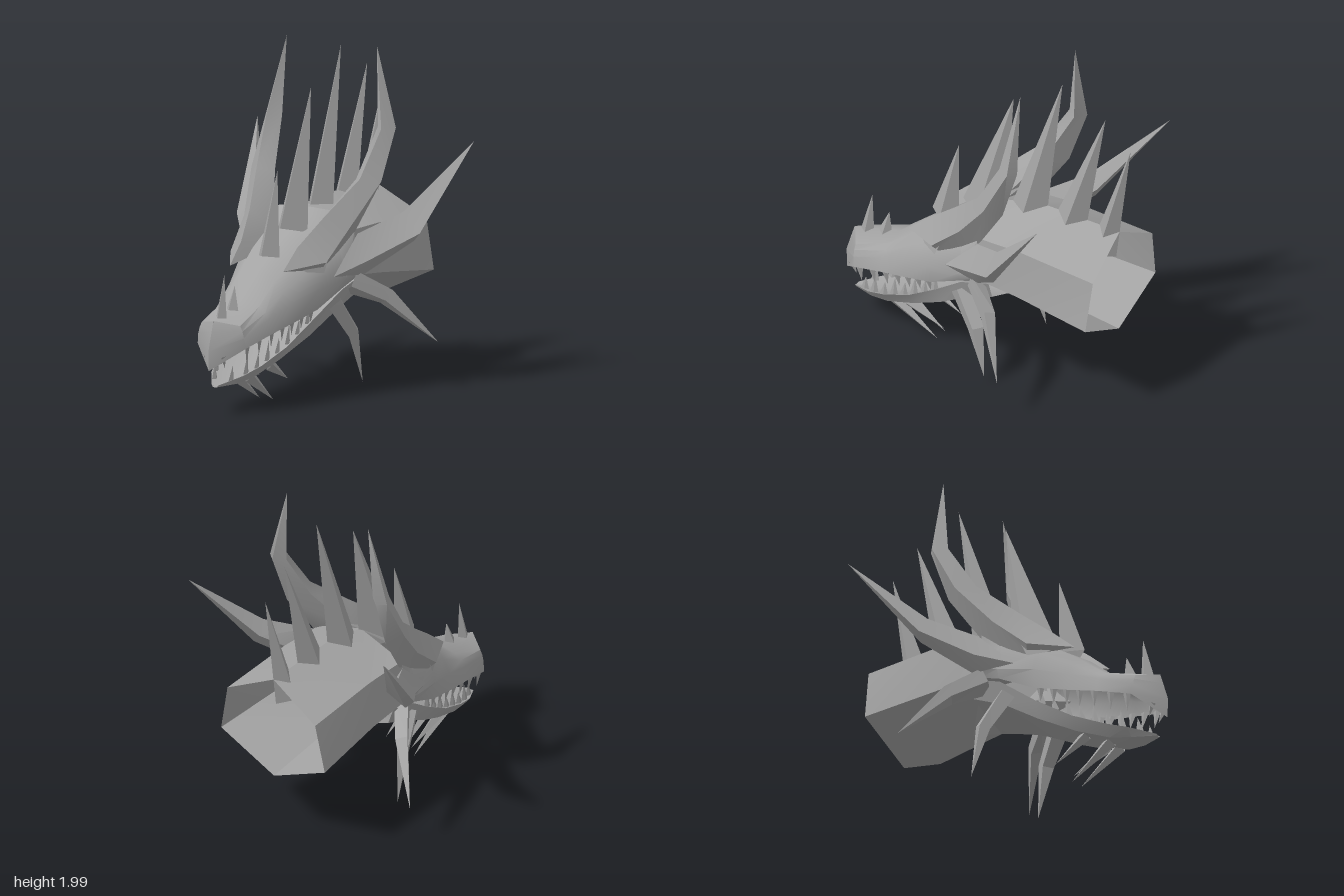
import * as THREE from 'three';
import { toCreasedNormals } from 'three/addons/utils/BufferGeometryUtils.js';

const grey = new THREE.MeshStandardMaterial({ color: 0xa4a4a4, side: THREE.DoubleSide });
grey.name = 'stone grey';

// Skin a list of rings (equal point counts) into a creased surface.
function loft(name, rings, { closed = false, flip = false, crease = 0.55 } = {}) {
  const pos = [];
  const tri = (a, b, c) => {
    const [p, q, r] = [a, b, c].map((v) => new THREE.Vector3(...v));
    if (new THREE.Triangle(p, q, r).getArea() < 1e-7) return;
    pos.push(...a, ...(flip ? c : b), ...(flip ? b : c));
  };
  for (let i = 0; i < rings.length - 1; i++) {
    const A = rings[i], B = rings[i + 1], n = A.length;
    for (let j = 0; j < (closed ? n : n - 1); j++) {
      const k = (j + 1) % n;
      tri(A[j], A[k], B[j]);
      tri(A[k], B[k], B[j]);
    }
  }
  const g = new THREE.BufferGeometry();
  g.setAttribute('position', new THREE.Float32BufferAttribute(pos, 3));
  const mesh = new THREE.Mesh(toCreasedNormals(g, crease), grey);
  mesh.name = name;
  return mesh;
}

// Full left-right ring from a half profile whose first point lies on x = 0.
const symmetric = (half) => [...half.slice(1).reverse().map(([x, y, z]) => [-x, y, z]), ...half];
const atZ = (z, pts) => pts.map(([x, y]) => [x, y, z]);
// Ring of four equal points, closing a horn to a tip.
const tip = (...p) => [p, p, p, p];

// Four-sided spike along points [x, y, z, side radius, depth radius], ending in a tip.
function spike(name, pts) {
  const P = pts.map((p) => new THREE.Vector3(p[0], p[1], p[2]));
  const rings = pts.map(([, , , ru = 0, rv = ru], i) => {
    const t = P[Math.min(i + 1, P.length - 1)].clone().sub(P[Math.max(i - 1, 0)]).normalize();
    const u = t.clone().cross(new THREE.Vector3(0, 0, 1)).normalize();
    const v = t.clone().cross(u);
    return [[ru, 0], [0, rv], [-ru, 0], [0, -rv]].map(([a, b]) =>
      P[i].clone().addScaledVector(u, a).addScaledVector(v, b).toArray());
  });
  return loft(name, rings, { closed: true, crease: 0.2 });
}

// Point on a polyline of [x, y, z] with falling z.
function along(line, z) {
  let i = 0;
  while (i < line.length - 2 && line[i + 1][2] > z) i++;
  const a = line[i], b = line[i + 1], t = (z - a[2]) / (b[2] - a[2]);
  return [a[0] + (b[0] - a[0]) * t, a[1] + (b[1] - a[1]) * t, z];
}

export function createModel() {
  const model = new THREE.Group();
  model.name = 'hornedBeastHead';

  // Skull: top centre, top edge, temple, cheek, lip
  const skull = [
    [[0, 0.56, 0.905], [0, 0.545, 0.91], [0, 0.5, 0.925], [0, 0.39, 0.96], [0, 0.275, 0.955]],
    [[0, 0.56, 0.9], [0.13, 0.53, 0.82], [0.145, 0.5, 0.82], [0.155, 0.46, 0.82], [0.165, 0.4, 0.81]],
    atZ(0.6, [[0, 0.625], [0.12, 0.605], [0.165, 0.575], [0.19, 0.54], [0.21, 0.455]]),
    atZ(0.42, [[0, 0.77], [0.13, 0.74], [0.19, 0.68], [0.235, 0.6], [0.245, 0.495]]),
    atZ(0.22, [[0, 0.88], [0.16, 0.865], [0.25, 0.78], [0.295, 0.66], [0.285, 0.545]]),
    atZ(0, [[0, 0.99], [0.18, 0.975], [0.295, 0.88], [0.345, 0.7], [0.325, 0.645]]),
    atZ(-0.12, [[0, 1.07], [0.185, 1.06], [0.325, 0.95], [0.355, 0.72], [0.33, 0.68]]),
  ];
  model.add(loft('skull', skull.map(symmetric), { crease: 0.7 }));

  // Six-sided neck with a ridged back, open at the rear
  const neck = [
    atZ(-0.1, [[0, 1.06], [0.31, 0.96], [0.335, 0.7], [0, 0.45]]),
    atZ(-0.4, [[0, 1.11], [0.32, 0.96], [0.345, 0.67], [0, 0.51]]),
    [[0, 1.085, -0.885], [0.33, 0.91, -0.905], [0.39, 0.61, -0.89], [0, 0.43, -0.88]],
  ];
  model.add(loft('neck', neck.map(symmetric), { crease: 0.3 }));

  // Lower jaw: mouth floor, rim, lower side, keel
  const jaw = [
    atZ(0.89, [[0, 0.175], [0.02, 0.18], [0.015, 0.17], [0, 0.168]]),
    atZ(0.75, [[0, 0.19], [0.11, 0.225], [0.07, 0.175], [0, 0.168]]),
    atZ(0.62, [[0, 0.22], [0.15, 0.265], [0.1, 0.195], [0, 0.17]]),
    atZ(0.42, [[0, 0.28], [0.2, 0.35], [0.15, 0.27], [0, 0.23]]),
    atZ(0.2, [[0, 0.4], [0.25, 0.485], [0.215, 0.38], [0, 0.33]]),
    atZ(0, [[0, 0.5], [0.315, 0.63], [0.27, 0.5], [0, 0.43]]),
    atZ(-0.2, [[0, 0.6], [0.33, 0.69], [0.29, 0.58], [0, 0.47]]),
  ];
  model.add(loft('lowerJaw', jaw.map(symmetric), { crease: 0.7 }));

  // Crest spikes down the midline and small ones on the nose
  const crest = [
    [0.84, 0.29, 1.33, 0.2, 0.07, 0.09], [0.95, 0.03, 1.76, -0.17, 0.1, 0.145],
    [0.97, -0.26, 1.96, -0.5, 0.09, 0.125], [0.96, -0.53, 1.81, -0.79, 0.085, 0.115],
    [0.93, -0.78, 1.65, -0.96, 0.08, 0.085],
  ];
  crest.forEach(([y, z, ty, tz, rx, rz]) =>
    model.add(spike('crestSpike', [[0, y, z, rx, rz], [0, ty, tz]])));
  model.add(spike('noseSpike', [[0, 0.53, 0.82, 0.04, 0.05], [0, 0.81, 0.785]]));
  model.add(spike('noseSpike', [[0, 0.59, 0.695, 0.04, 0.045], [0, 0.73, 0.67]]));

  const lip = skull.slice(1).map((r) => r[4]);
  const rim = jaw.map((r) => r[1]);
  // Horn rings: front, outer, back, inner
  const horn = [
    tip(0.18, 0.79, 0.43),
    [[0.19, 0.91, 0.29], [0.325, 0.82, 0.19], [0.28, 0.77, 0.17], [0.145, 0.82, 0.28]],
    [[0.25, 1.06, 0.1], [0.36, 1, -0.02], [0.31, 0.92, -0.12], [0.15, 0.95, 0]],
    [[0.35, 1.26, -0.14], [0.44, 1.24, -0.23], [0.37, 1.21, -0.32], [0.275, 1.24, -0.22]],
    [[0.39, 1.53, -0.31], [0.44, 1.53, -0.39], [0.39, 1.53, -0.43], [0.325, 1.53, -0.38]],
    tip(0.305, 2, -0.4),
  ];
  // Cheek horn rings: upper, outer, lower, inner
  const cheek = [
    tip(0.32, 0.72, 0.1),
    [[0.34, 0.94, -0.13], [0.42, 0.79, -0.11], [0.37, 0.7, -0.15], [0.3, 0.8, -0.2]],
    [[0.51, 1.05, -0.37], [0.62, 0.93, -0.36], [0.57, 0.88, -0.38], [0.48, 0.98, -0.44]],
    tip(0.735, 1.42, -0.775),
  ];

  for (const s of [1, -1]) {
    const side = new THREE.Group();
    side.name = s > 0 ? 'leftSide' : 'rightSide';
    model.add(side);
    const flipX = (rings) => rings.map((r) => r.map(([x, y, z]) => [s * x, y, z]));
    const add = (name, pts) => side.add(spike(name, pts.map(([x, ...rest]) => [s * x, ...rest])));

    side.add(loft('horn', flipX(horn), { closed: true, flip: s < 0 }));
    side.add(loft('cheekHorn', flipX(cheek), { closed: true, flip: s < 0 }));

    // Eye under the brow
    side.add(loft('eye', flipX([
      [[0.215, 0.8, 0.33], [0.31, 0.86, 0.13]],
      [[0.25, 0.77, 0.28], [0.305, 0.755, 0.18]],
    ]), { flip: s > 0 }));

    // Bent spines behind and under the jaw
    add('upperFrillSpine', [[0.31, 0.66, -0.1, 0.08, 0.05], [0.45, 0.56, -0.27, 0.06, 0.045], [0.68, 0.28, -0.47]]);
    add('lowerFrillSpine', [[0.27, 0.56, 0.02, 0.05, 0.07], [0.325, 0.36, -0.11, 0.035, 0.055], [0.345, 0.06, -0.18]]);
    add('chinSpike', [[0.05, 0.2, 0.6, 0.035, 0.045], [0.045, 0.01, 0.32]]);
    add('chinSpike', [[0.11, 0.25, 0.47, 0.03, 0.04], [0.095, 0.125, 0.24]]);

    // Teeth along both lips
    [0.78, 0.68, 0.58, 0.49, 0.41, 0.33, 0.25].forEach((z, i) => {
      const [x, y] = along(lip, z);
      add('upperTooth', [[x - 0.016, y + 0.01, z, 0.012, 0.028], [x - 0.03, y - 0.1 + i * 0.005, z - 0.01]]);
    });
    [0.8, 0.71, 0.63, 0.55, 0.47, 0.39, 0.31, 0.23].forEach((z, i) => {
      const [x, y] = along(rim, z);
      const len = i % 2 ? 0.11 : 0.08;
      add('lowerTooth', [[x - 0.022, y - 0.01, z, 0.012, 0.028], [x - 0.016, y + len, z - 0.01]]);
    });
    add('frontFang', [[0.06, 0.36, 0.89, 0.016, 0.025], [0.05, 0.28, 0.86]]);
  }
  return model;
}
